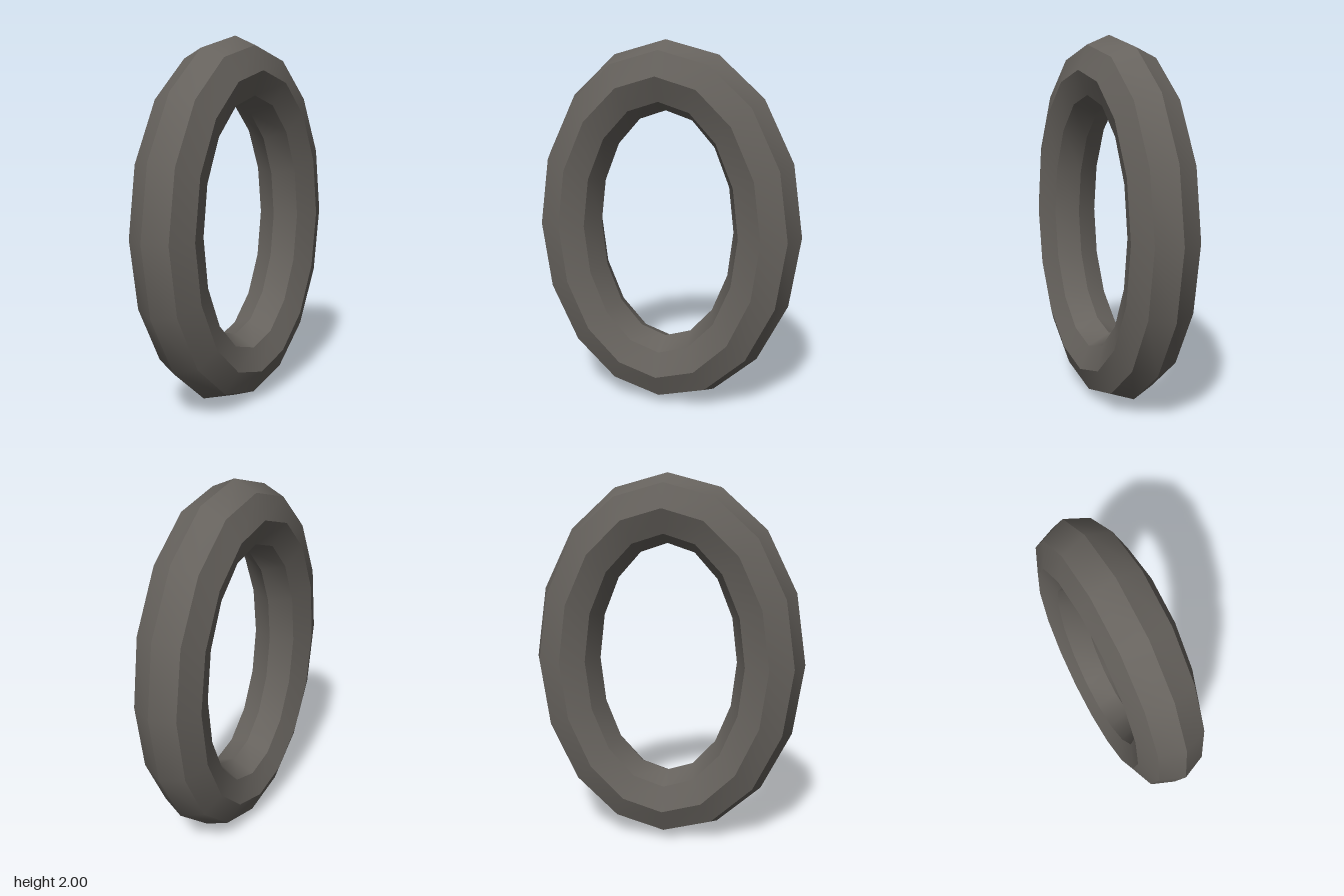
import * as THREE from 'three';

const AROUND = 16, SIDES = 8;
const RADIUS_X = 0.563, RADIUS_Y = 0.818, TUBE = 0.182;

// Point on an oval ring: u runs around the ring, v around its tube
function ringPoint(i, j) {
  const u = (i / AROUND) * Math.PI * 2;
  const v = (j / SIDES) * Math.PI * 2;
  const out = TUBE * Math.cos(v);
  return [(RADIUS_X + out) * Math.cos(u), (RADIUS_Y + out) * Math.sin(u), TUBE * Math.sin(v)];
}

// Each long facet has its own vertices: smooth along the ring, sharp between facets
function ovalRing() {
  const positions = [], index = [];
  for (let j = 0; j < SIDES; j++) {
    const base = j * AROUND * 2;
    for (let i = 0; i < AROUND; i++) {
      positions.push(...ringPoint(i, j), ...ringPoint(i, j + 1));
      const a = base + i * 2, b = base + ((i + 1) % AROUND) * 2;
      index.push(a, b, b + 1, a, b + 1, a + 1);
    }
  }
  const geometry = new THREE.BufferGeometry();
  geometry.setAttribute('position', new THREE.Float32BufferAttribute(positions, 3));
  geometry.setIndex(index);
  geometry.computeVertexNormals();
  return geometry;
}

export function createModel() {
  const group = new THREE.Group();
  group.name = 'chainLink';

  // Upright oval ring
  const ring = new THREE.Mesh(ovalRing(), new THREE.MeshStandardMaterial({ color: 0x66625d }));
  ring.name = 'ovalRing';
  ring.position.y = 1;
  group.add(ring);

  return group;
}
